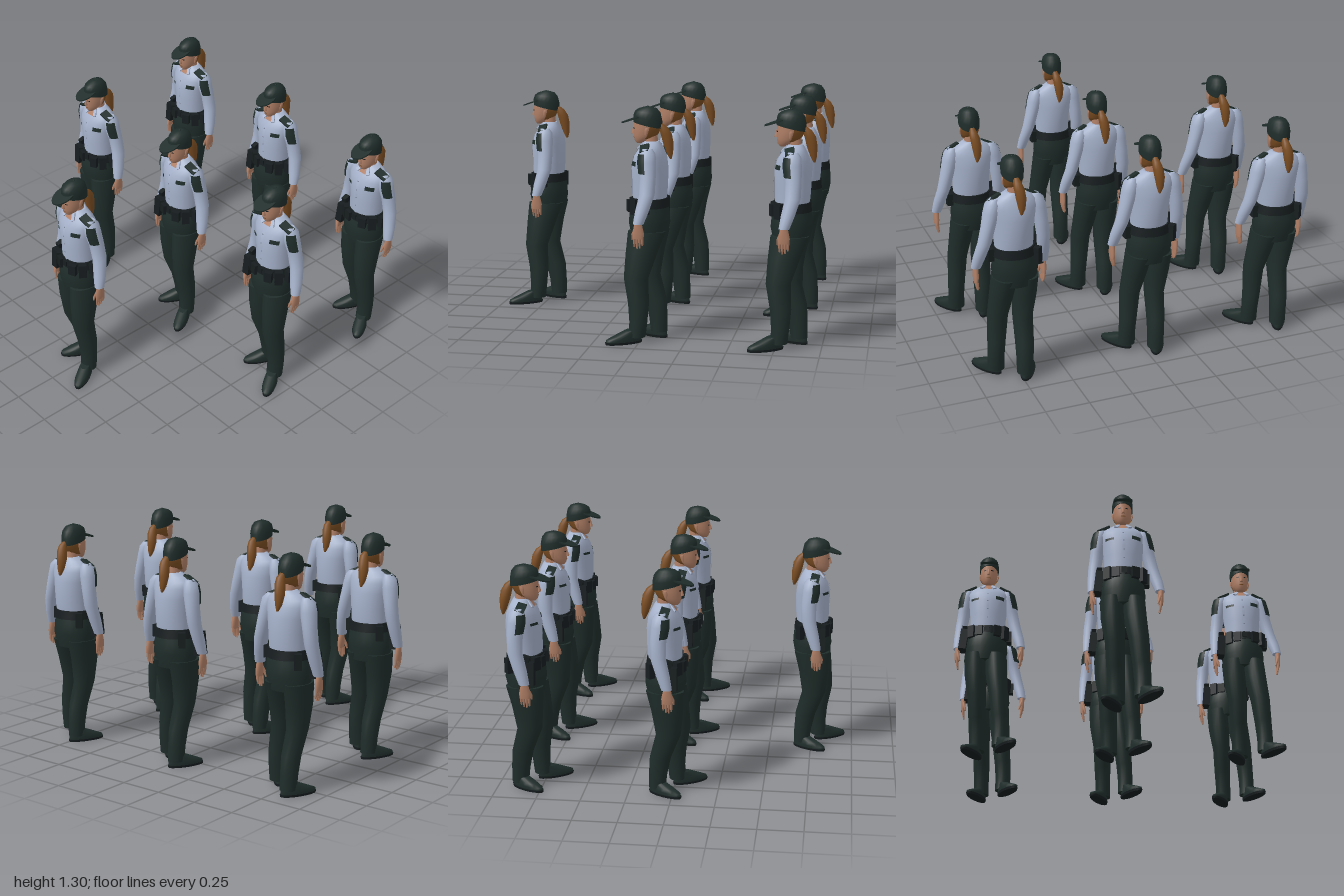
import * as THREE from 'three';

const mat = (name, color) => {
  const m = new THREE.MeshStandardMaterial({ color, side: THREE.DoubleSide });
  m.name = name;
  return m;
};

// Ring: [x, y, z, radiusX, radiusZ, tilt]; rings run from bottom to top.
function loftGeometry(rings, segs = 18, arc = null) {
  const pos = [], idx = [];
  const [a0, a1] = arc || [0, Math.PI * 2];
  const n = arc ? segs + 1 : segs;
  const put = ([x, y, z, rx, rz, tilt = 0], j) => {
    const a = a0 + (a1 - a0) * j / segs, s = Math.sin(a);
    pos.push(x + rx * Math.cos(a), y + tilt * s, z + rz * s);
  };
  for (const r of rings) for (let j = 0; j < n; j++) put(r, j);
  for (let i = 0; i < rings.length - 1; i++) {
    for (let j = 0; j < segs; j++) {
      const k = (j + 1) % n, a = i * n + j, b = i * n + k, c = a + n, d = b + n;
      idx.push(a, c, b, b, c, d);
    }
  }
  // End caps have their own vertices so their edges stay sharp
  if (!arc) [rings[0], rings[rings.length - 1]].forEach((r, top) => {
    const base = pos.length / 3;
    pos.push(r[0], r[1], r[2]);
    for (let j = 0; j < n; j++) put(r, j);
    for (let j = 0; j < n; j++) {
      const p = base + 1 + j, q = base + 1 + (j + 1) % n;
      idx.push(base, top ? q : p, top ? p : q);
    }
  });
  const g = new THREE.BufferGeometry();
  g.setAttribute('position', new THREE.Float32BufferAttribute(pos, 3));
  g.setIndex(idx);
  g.computeVertexNormals();
  return g;
}

// Interpolated ring of a loft at height y
function ringAt(rings, y) {
  let i = 0;
  while (i < rings.length - 2 && rings[i + 1][1] < y) i++;
  const a = rings[i], b = rings[i + 1], t = (y - a[1]) / (b[1] - a[1]);
  return [0, 1, 2, 3, 4].map(k => a[k] + (b[k] - a[k]) * t);
}

function buildOfficer() {
  const shirt = mat('shirt blue', 0xa6b2cb), dark = mat('uniform green', 0x1f2d2a);
  const skin = mat('skin', 0xb07f66), hair = mat('hair brown', 0x7b4d22);
  const black = mat('leather black', 0x171d1f), metal = mat('button grey', 0x7d879c);
  const g = new THREE.Group();
  g.name = 'officer';
  const add = (name, geo, m, p = [0, 0, 0], r = [0, 0, 0]) => {
    const mesh = new THREE.Mesh(geo, m);
    mesh.name = name;
    mesh.position.set(...p);
    mesh.rotation.set(...r);
    g.add(mesh);
    return mesh;
  };
  const loft = (name, rings, m, segs) => add(name, loftGeometry(rings, segs), m);
  const box = (name, size, m, p, r) => add(name, new THREE.BoxGeometry(...size), m, p, r);
  // Thin plate lying on a loft between two heights and two angles
  const patch = (name, rings, y0, y1, a0, a1, m, lift = 0.004) => {
    const rows = [];
    for (let i = 0; i <= 6; i++) {
      const r = ringAt(rings, y0 + (y1 - y0) * i / 6);
      r[3] += lift;
      r[4] += lift;
      rows.push(r);
    }
    add(name, loftGeometry(rows, 6, [a0, a1]), m);
  };

  // Shirt
  const torso = [
    [-0.015, 0.78, -0.042, 0.104, 0.09], [-0.015, 0.82, -0.043, 0.106, 0.096],
    [-0.015, 0.89, -0.045, 0.108, 0.098], [-0.017, 0.97, -0.043, 0.118, 0.1],
    [-0.02, 1.03, -0.046, 0.128, 0.088], [-0.02, 1.065, -0.05, 0.12, 0.068],
    [-0.02, 1.09, -0.052, 0.085, 0.054], [-0.02, 1.11, -0.052, 0.045, 0.042]];
  loft('shirt', torso, shirt, 24);
  const mid = Math.PI / 2;
  patch('shirtPlacket', torso, 0.8, 1.06, mid - 0.07, mid + 0.07, shirt);
  patch('nameTag', torso, 0.975, 0.99, mid + 0.45, mid + 0.95, dark);
  patch('badge', torso, 0.98, 1.005, mid - 0.9, mid - 0.4, dark);
  patch('neckOpening', torso, 1.065, 1.1, mid - 0.2, mid + 0.2, skin);
  for (let i = 0; i < 4; i++) {
    const y = 0.85 + i * 0.055;
    patch('button', torso, y, y + 0.007, mid - 0.035, mid + 0.035, metal, 0.006);
  }
  for (const s of [-1, 1]) {
    box('collarFlap', [0.02, 0.05, 0.008], shirt, [-0.02 + s * 0.03, 1.085, 0.006], [-0.75, 0, s * 0.5]);
  }

  // Trousers and belt
  const hips = [
    [-0.018, 0.58, -0.04, 0.115, 0.098], [-0.018, 0.66, -0.04, 0.128, 0.114],
    [-0.018, 0.72, -0.041, 0.122, 0.11], [-0.016, 0.8, -0.042, 0.108, 0.094]];
  loft('trouserHips', hips, dark, 24);
  loft('belt', [[-0.016, 0.75, -0.042, 0.123, 0.107], [-0.016, 0.8, -0.042, 0.115, 0.101]], black, 24);
  box('buckle', [0.03, 0.032, 0.008], black, [-0.016, 0.775, 0.063]);
  box('holster', [0.045, 0.13, 0.075], black, [-0.155, 0.715, 0.0], [0, 0, -0.1]);
  box('holsterGrip', [0.03, 0.045, 0.04], black, [-0.15, 0.795, -0.01], [0.3, 0, 0]);
  box('radio', [0.04, 0.085, 0.05], black, [-0.12, 0.75, -0.105], [0, 0.7, 0]);
  [[-0.105, 0.035, 0.075, -0.6], [-0.06, 0.055, 0.06, -0.3], [0.045, 0.055, 0.065, 0.4],
    [0.09, 0.02, 0.085, 0.9], [0.115, -0.04, 0.07, 1.57]].forEach(([x, z, h, turn]) =>
    box('beltPouch', [0.045, h, 0.034], black, [x, 0.76, z], [0, turn, 0]));

  // Legs: right one back, left one forward
  loft('rightTrouserLeg', [
    [-0.05, 0.035, -0.088, 0.046, 0.047], [-0.052, 0.12, -0.082, 0.047, 0.052],
    [-0.055, 0.22, -0.068, 0.051, 0.06], [-0.062, 0.36, -0.022, 0.055, 0.07],
    [-0.074, 0.5, -0.026, 0.066, 0.088], [-0.078, 0.62, -0.038, 0.068, 0.105]], dark);
  loft('leftTrouserLeg', [
    [0.088, 0.035, 0.01, 0.048, 0.046], [0.088, 0.12, 0.004, 0.047, 0.05],
    [0.082, 0.22, 0.004, 0.05, 0.058], [0.068, 0.36, 0.02, 0.057, 0.068],
    [0.05, 0.5, -0.008, 0.065, 0.088], [0.04, 0.62, -0.036, 0.068, 0.105]], dark);

  // Shoes turned outward
  const shoe = [
    [0, 0.012, 0, 0.037, 0.103], [0, 0.03, 0, 0.039, 0.102, -0.004],
    [0, 0.05, -0.012, 0.035, 0.082, -0.01], [0, 0.075, -0.045, 0.028, 0.045, -0.006]];
  const sole = [[0, 0, 0, 0.037, 0.105], [0, 0.014, 0, 0.041, 0.107]];
  [['right', -0.08, -0.04, -0.47], ['left', 0.122, 0.08, 0.54]].forEach(([side, x, z, turn]) => {
    add(side + 'Shoe', loftGeometry(shoe), dark, [x, 0, z], [0, turn, 0]);
    add(side + 'Sole', loftGeometry(sole), black, [x, 0, z], [0, turn, 0]);
  });

  // Arms, shoulder patches and hands
  const arms = {
    right: { s: -1, wrist: [-0.19, 0.67, -0.012], drop: 0, rings: [
      [-0.188, 0.665, -0.015, 0.027, 0.029], [-0.183, 0.74, -0.035, 0.033, 0.037],
      [-0.175, 0.84, -0.062, 0.036, 0.042], [-0.163, 0.93, -0.062, 0.038, 0.044],
      [-0.15, 1.01, -0.052, 0.045, 0.05], [-0.143, 1.055, -0.05, 0.04, 0.045],
      [-0.135, 1.08, -0.05, 0.022, 0.026]] },
    left: { s: 1, wrist: [0.193, 0.69, -0.018], drop: 0.02, rings: [
      [0.19, 0.685, -0.018, 0.027, 0.029], [0.175, 0.75, -0.035, 0.034, 0.037],
      [0.15, 0.84, -0.058, 0.037, 0.042], [0.128, 0.93, -0.058, 0.039, 0.044],
      [0.106, 1.01, -0.05, 0.045, 0.05], [0.098, 1.055, -0.05, 0.041, 0.045],
      [0.092, 1.08, -0.05, 0.022, 0.026]] } };
  for (const [side, { s, wrist, rings }] of Object.entries(arms)) {
    loft(side + 'Sleeve', rings, shirt);
    const out = s > 0 ? 0 : Math.PI;
    patch(side + 'SleevePatch', rings, 0.95, 1.055, out + s * 0.75 - 0.6, out + s * 0.75 + 0.6, dark);
    const top = rings[6];
    box(side + 'Epaulette', [0.075, 0.012, 0.05], dark, [top[0] - s * 0.008, 1.08, -0.032], [0.25, 0, -s * 0.42]);
    const [x, y, z] = wrist;
    loft(side + 'Hand', [
      [x, y - 0.085, z, 0.012, 0.03], [x, y - 0.055, z, 0.015, 0.032],
      [x, y - 0.02, z, 0.015, 0.024], [x, y + 0.01, z, 0.016, 0.018]], skin, 12);
    for (let i = 0; i < 4; i++) {
      const len = [0.052, 0.062, 0.058, 0.045][i], fz = z + 0.022 - i * 0.0145;
      loft(side + 'Finger', [
        [x - s * 0.008, y - 0.08 - len, fz, 0.004, 0.004],
        [x - s * 0.003, y - 0.105, fz, 0.007, 0.0075], [x, y - 0.075, fz, 0.008, 0.008]], skin, 8);
    }
    loft(side + 'Thumb', [
      [x - s * 0.018, y - 0.095, z + 0.034, 0.005, 0.005],
      [x - s * 0.01, y - 0.065, z + 0.031, 0.009, 0.009], [x, y - 0.025, z + 0.015, 0.008, 0.009]], skin, 8);
  }

  // Head, nose and ears
  const hx = -0.02;
  loft('neck', [[hx, 1.06, -0.052, 0.036, 0.038], [hx, 1.16, -0.045, 0.033, 0.038]], skin);
  const head = [
    [hx, 1.098, 0.012, 0.018, 0.018], [hx, 1.112, 0.002, 0.034, 0.04],
    [hx, 1.14, -0.016, 0.047, 0.063], [hx, 1.18, -0.026, 0.053, 0.074],
    [hx, 1.235, -0.03, 0.053, 0.074]];
  loft('head', head, skin, 20);
  loft('nose', [[hx, 1.147, 0.046, 0.01, 0.013], [hx, 1.153, 0.048, 0.009, 0.013], [hx, 1.19, 0.043, 0.004, 0.006]], skin, 8);
  patch('mouth', head, 1.126, 1.131, mid - 0.3, mid + 0.3, hair, 0.002);
  for (const s of [-1, 1]) {
    patch('eye', head, 1.177, 1.183, mid + s * 0.4 - 0.15, mid + s * 0.4 + 0.15, black, 0.002);
    loft('ear', [[hx + s * 0.051, 1.145, -0.03, 0.004, 0.006], [hx + s * 0.055, 1.17, -0.034, 0.006, 0.012],
      [hx + s * 0.054, 1.185, -0.036, 0.004, 0.009]], skin, 8);
  }

  // Hair and ponytail
  patch('backHair', head, 1.125, 1.2, Math.PI + 0.3, Math.PI * 2 - 0.3, hair, 0.005);
  loft('ponytail', [
    [-0.026, 1.013, -0.156, 0.006, 0.006], [-0.03, 1.045, -0.151, 0.019, 0.018],
    [-0.03, 1.1, -0.142, 0.028, 0.029], [-0.024, 1.15, -0.132, 0.028, 0.031],
    [-0.018, 1.185, -0.117, 0.021, 0.025], [-0.018, 1.205, -0.1, 0.012, 0.014]], hair, 14);

  // Cap
  loft('cap', [
    [hx, 1.196, -0.031, 0.058, 0.08, 0.018], [hx, 1.235, -0.031, 0.06, 0.08, 0.015],
    [hx, 1.268, -0.031, 0.053, 0.071, 0.006], [hx, 1.288, -0.031, 0.038, 0.05],
    [hx, 1.297, -0.031, 0.015, 0.02]], dark, 20);
  loft('capBrim', [
    [hx, 1.228, 0.04, 0.055, 0.075, -0.025], [hx, 1.236, 0.04, 0.055, 0.075, -0.025]], dark, 24);
  add('capButton', new THREE.SphereGeometry(0.006, 8, 6), dark, [hx, 1.297, -0.031]);
  return g;
}

export function createModel() {
  const model = new THREE.Group();
  model.name = 'officerFormation';
  const officer = buildOfficer(), step = 0.783;
  // Two rows of three and one leader in front
  const spots = [[0, 1]];
  for (const row of [-1, 0]) for (const col of [-1, 0, 1]) spots.push([col, row]);
  spots.forEach(([col, row], i) => {
    const o = officer.clone();
    o.name = i ? 'officer' : 'leadOfficer';
    o.position.set(col * step, 0, row * step);
    model.add(o);
  });
  return model;
}
